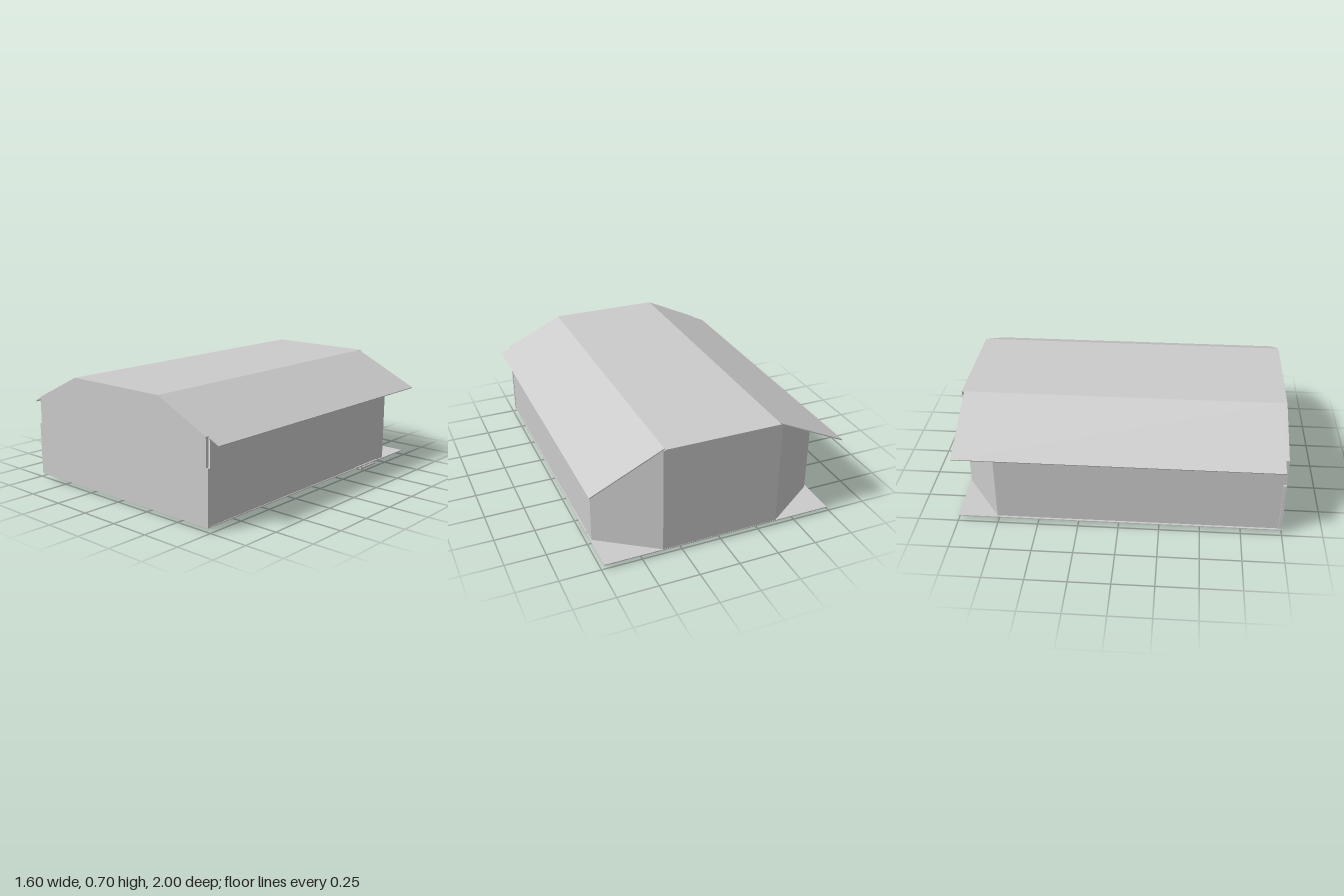
import * as THREE from 'three';

const RIDGE = 0.36, TOP = 0.705, EAVE = 0.8, EAVE_Y = 0.495, FLOOR = 0.03;
// height of the roof surface above a given x
const roofY = x => TOP - Math.max(0, Math.abs(x) - RIDGE) * (TOP - EAVE_Y) / (EAVE - RIDGE);

export function createModel() {
  const model = new THREE.Group();
  const mat = new THREE.MeshStandardMaterial({ color: 0xcccccc, flatShading: true });
  const matDouble = new THREE.MeshStandardMaterial({ color: 0xcccccc, flatShading: true, side: THREE.DoubleSide });

  const add = (name, geo, material = mat) => {
    const mesh = new THREE.Mesh(geo, material);
    mesh.name = name;
    model.add(mesh);
    return mesh;
  };
  const box = (name, x0, x1, y0, y1, z0, z1) => {
    const geo = new THREE.BoxGeometry(x1 - x0, y1 - y0, z1 - z0);
    return add(name, geo.translate((x0 + x1) / 2, (y0 + y1) / 2, (z0 + z1) / 2));
  };
  // outline in x/y, extruded between two z positions
  const slab = (name, points, z0, z1) => {
    const shape = new THREE.Shape(points.map(p => new THREE.Vector2(...p)));
    const geo = new THREE.ExtrudeGeometry(shape, { depth: z1 - z0, bevelEnabled: false });
    return add(name, geo.translate(0, 0, z0));
  };

  // floor plate, rectangular so its back corners show beyond the angled walls
  box('floorPlate', -0.733, 0.733, 0.024, FLOOR, -1, 1);

  // side, angled and back walls: a plan outline raised to the roof
  const plan = [[0.73, 0.98], [0.725, -0.755], [0.37, -0.998], [-0.37, -0.998], [-0.72, -0.755], [-0.72, 0.98]];
  const pos = [];
  for (let i = 0; i < plan.length - 1; i++) {
    const [ax, az] = plan[i], [bx, bz] = plan[i + 1];
    const ay = roofY(ax) - 0.002, by = roofY(bx) - 0.002;
    pos.push(ax, FLOOR, az, bx, FLOOR, bz, bx, by, bz);
    pos.push(ax, FLOOR, az, bx, by, bz, ax, ay, az);
  }
  const walls = new THREE.BufferGeometry();
  walls.setAttribute('position', new THREE.Float32BufferAttribute(pos, 3));
  walls.computeVertexNormals();
  add('walls', walls, matDouble);

  // front panel, a little wider below the notches at its edges
  slab('frontPanel', [
    [-0.725, FLOOR], [0.733, FLOOR], [0.733, 0.36], [0.72, 0.36], [0.72, roofY(0.72)],
    [RIDGE, TOP], [-RIDGE, TOP], [-0.72, roofY(0.72)], [-0.72, 0.36], [-0.735, 0.36], [-0.735, 0.036],
  ], 0.98, 1);

  // roof: flat middle and two sloping sides with overhanging eaves
  box('roofTop', -RIDGE, RIDGE, TOP - 0.008, TOP, -1, 0.98);
  for (const s of [-1, 1]) {
    slab('roofSlope', [
      [s * RIDGE, TOP], [s * EAVE, EAVE_Y], [s * (EAVE - 0.003), EAVE_Y - 0.006], [s * RIDGE, TOP - 0.008],
    ], -0.985, 0.98);
  }

  // small brackets below the floor: two short legs joined by a rail
  for (const [x0, x1] of [[-0.68, -0.66], [0.702, 0.722]]) {
    box('bracketRail', x0, x1, 0, 0.012, -0.675, -0.5);
    for (const z of [-0.675, -0.51]) box('bracketLeg', x0, x1, 0.012, 0.024, z, z + 0.01);
  }
  // thin strip along the floor edge above the bracket
  box('edgeStrip', 0.725, 0.735, 0.026, 0.034, -0.68, -0.42);

  return model;
}
